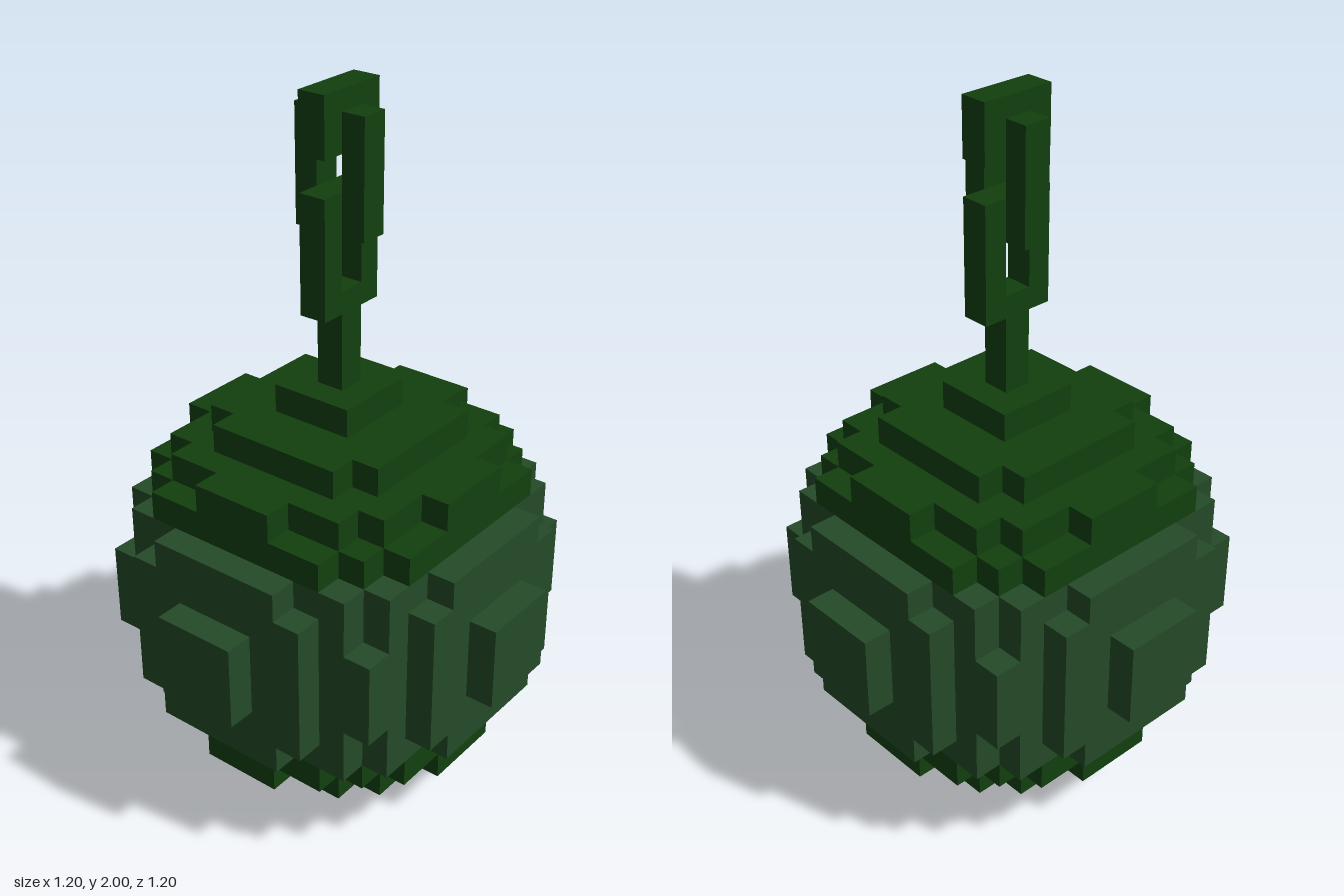
import * as THREE from 'three';
import { mergeGeometries } from 'three/addons/utils/BufferGeometryUtils.js';

const CELL = 0.08, CENTER_Y = 0.6, R2 = 51.5;
const dark = new THREE.MeshStandardMaterial({ color: 0x12400e });
const pale = new THREE.MeshStandardMaterial({ color: 0x254b28 });

const filled = (x, y, z) => x * x + y * y + z * z <= R2;

// One outward square per direction, offset to the side of a unit cell
const SIDES = [
  [0, 0, 1, 0, 0], [0, 0, -1, 0, Math.PI],
  [1, 0, 0, 0, Math.PI / 2], [-1, 0, 0, 0, -Math.PI / 2],
  [0, 1, 0, -Math.PI / 2, 0], [0, -1, 0, Math.PI / 2, 0],
].map(([x, y, z, rx, ry]) => ({
  x, y, z,
  face: new THREE.PlaneGeometry(CELL, CELL).translate(0, 0, CELL / 2).rotateX(rx).rotateY(ry),
}));

// Exposed cell faces of the stepped ball, for the rows accepted by the test
function ballPart(name, rowTest, material) {
  const faces = [];
  for (let x = -7; x <= 7; x++)
    for (let y = -7; y <= 7; y++)
      for (let z = -7; z <= 7; z++) {
        if (!rowTest(y) || !filled(x, y, z)) continue;
        for (const s of SIDES)
          if (!filled(x + s.x, y + s.y, z + s.z))
            faces.push(s.face.clone().translate(x * CELL, CENTER_Y + y * CELL, z * CELL));
      }
  const mesh = new THREE.Mesh(mergeGeometries(faces), material);
  mesh.name = name;
  return mesh;
}

function box(name, w, d, y0, y1) {
  const mesh = new THREE.Mesh(new THREE.BoxGeometry(w, y1 - y0, d), dark);
  mesh.position.y = (y0 + y1) / 2;
  mesh.name = name;
  return mesh;
}

const rect = (Type, hw, y0, y1) => new Type([
  new THREE.Vector2(-hw, y0), new THREE.Vector2(hw, y0),
  new THREE.Vector2(hw, y1), new THREE.Vector2(-hw, y1),
]);

// Rectangular chain link with a window, lying in the xy plane
function link(name, y0, hole0, hole1, y1) {
  const shape = rect(THREE.Shape, 0.108, y0, y1);
  shape.holes.push(rect(THREE.Path, 0.04, hole0, hole1));
  const geo = new THREE.ExtrudeGeometry(shape, { depth: 0.08, bevelEnabled: false });
  const mesh = new THREE.Mesh(geo.translate(0, 0, -0.04), dark);
  mesh.name = name;
  return mesh;
}

export function createModel() {
  const model = new THREE.Group();
  model.name = 'ballOnChain';

  // Stepped ball: dark caps and a paler middle band
  model.add(
    ballPart('topCap', (y) => y > 3, dark),
    ballPart('middleBand', (y) => Math.abs(y) <= 3, pale),
    ballPart('bottomCap', (y) => y < -3, dark),
  );

  // Chain: stem, two crossed links and the end block
  const lowerLink = link('lowerLink', 1.417, 1.48, 1.627, 1.743);
  lowerLink.rotation.y = Math.PI / 2;
  model.add(
    box('stem', 0.08, 0.08, 1.2, 1.417),
    lowerLink,
    link('upperLink', 1.627, 1.743, 1.84, 1.945),
    box('endBlock', 0.08, 0.216, 1.84, 2),
  );
  return model;
}
